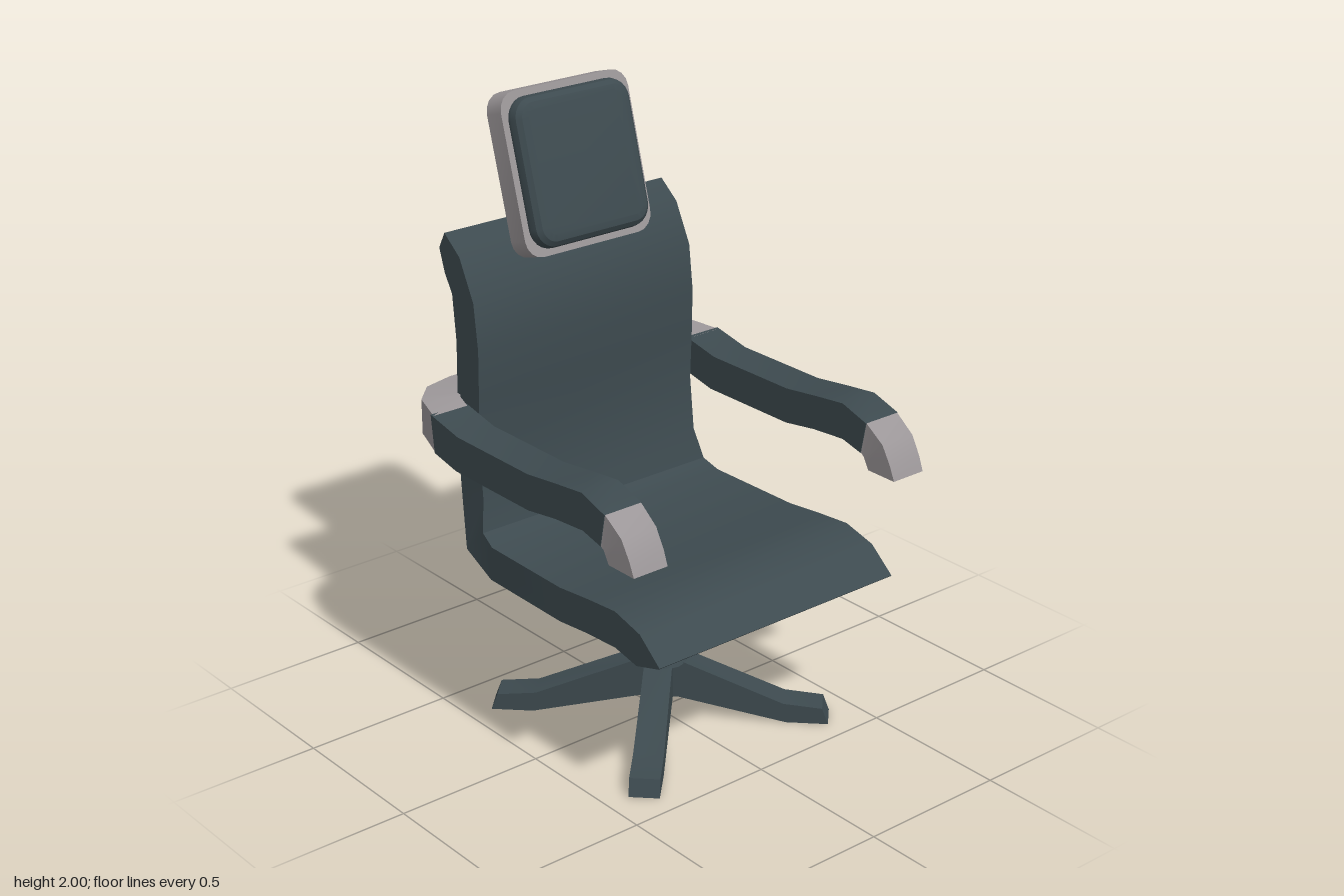
import * as THREE from 'three';
import { toCreasedNormals } from 'three/addons/utils/BufferGeometryUtils.js';

const mat = (name, color) => {
  const m = new THREE.MeshStandardMaterial({ color });
  m.name = name;
  return m;
};

// Solid skin through four-cornered rings: right-top, left-top, left-bottom, right-bottom
function loft(rings) {
  const pos = [];
  const tri = (a, b, c) => pos.push(...a, ...b, ...c);
  for (let s = 0; s < rings.length - 1; s++) {
    const p = rings[s], q = rings[s + 1];
    for (let i = 0; i < 4; i++) {
      const j = (i + 1) % 4;
      tri(p[i], q[i], p[j]);
      tri(p[j], q[i], q[j]);
    }
  }
  const f = rings[0], e = rings[rings.length - 1];
  tri(f[0], f[1], f[2]); tri(f[0], f[2], f[3]);
  tri(e[0], e[2], e[1]); tri(e[0], e[3], e[2]);
  const g = new THREE.BufferGeometry();
  g.setAttribute('position', new THREE.Float32BufferAttribute(pos, 3));
  return toCreasedNormals(g, 0.6);
}

// Slab from side sections [zTop, yTop, zBottom, yBottom, halfWidth], centred on x = cx
const slab = (sections, cx = 0) => loft(sections.map(([zt, yt, zb, yb, w]) => [
  [cx + w, yt, zt], [cx - w, yt, zt], [cx - w, yb, zb], [cx + w, yb, zb],
]));

function roundedRect(w, h, r) {
  const s = new THREE.Shape();
  s.absarc(w - r, h - r, r, 0, Math.PI / 2);
  s.absarc(r - w, h - r, r, Math.PI / 2, Math.PI);
  s.absarc(r - w, r - h, r, Math.PI, Math.PI * 1.5);
  s.absarc(w - r, r - h, r, Math.PI * 1.5, Math.PI * 2);
  return s;
}

export function createModel() {
  const slate = mat('dark slate', 0x3d4a4f);
  const grey = mat('warm grey', 0x9b9698);
  const model = new THREE.Group();
  const add = (name, geometry, material, parent = model) => {
    const m = new THREE.Mesh(geometry, material);
    m.name = name;
    parent.add(m);
    return m;
  };

  // One continuous shell for seat and backrest
  add('seatShell', slab([
    [0.57, 0.55, 0.565, 0.545, 0.47],
    [0.48, 0.625, 0.465, 0.515, 0.47],
    [0.365, 0.655, 0.365, 0.535, 0.47],
    [0.24, 0.645, 0.23, 0.528, 0.47],
    [0.1, 0.63, 0.1, 0.515, 0.47],
    [-0.25, 0.63, -0.26, 0.515, 0.465],
    [-0.31, 0.655, -0.4, 0.567, 0.455],
    [-0.335, 0.76, -0.45, 0.75, 0.432],
    [-0.352, 0.94, -0.467, 0.94, 0.43],
    [-0.345, 1.1, -0.458, 1.1, 0.43],
    [-0.342, 1.25, -0.455, 1.25, 0.43],
    [-0.36, 1.4, -0.47, 1.4, 0.43],
    [-0.425, 1.53, -0.505, 1.46, 0.43],
    [-0.5, 1.59, -0.53, 1.535, 0.43],
  ]), slate);

  // Armrests with hand grips
  for (const side of [1, -1]) {
    const name = side > 0 ? 'left' : 'right';
    add(name + 'Armrest', slab([
      [0.46, 1.035, 0.44, 0.93, 0.068],
      [0.355, 1.068, 0.36, 0.95, 0.068],
      [0.24, 1.055, 0.23, 0.94, 0.068],
      [0.1, 1.037, 0.1, 0.92, 0.068],
      [-0.25, 1.037, -0.265, 0.92, 0.068],
      [-0.39, 1.066, -0.375, 0.943, 0.068],
    ], side * 0.513), slate);
    add(name + 'Grip', slab([
      [0.583, 0.88, 0.47, 0.88, 0.062],
      [0.565, 0.925, 0.46, 0.9, 0.063],
      [0.53, 0.985, 0.45, 0.92, 0.064],
      [0.46, 1.035, 0.44, 0.93, 0.066],
    ], side * 0.513), grey);
  }

  // Band wrapping around the backrest: [outer x, outer z, inner x, inner z, bottom, top]
  const half = [
    [0.577, -0.38, 0.45, -0.38, 0.945, 1.064],
    [0.545, -0.49, 0.438, -0.435, 0.96, 1.075],
    [0.475, -0.56, 0.41, -0.462, 0.962, 1.077],
    [0.37, -0.585, 0.35, -0.47, 0.962, 1.077],
  ];
  const band = [...half, ...half.map(([a, b, c, ...r]) => [-a, b, -c, ...r]).reverse()];
  add('backBand', loft(band.map(([ox, oz, ix, iz, lo, hi]) => [
    [ox, hi, oz], [ix, hi, iz], [ix, lo, iz], [ox, lo, oz],
  ])), grey);

  // Tilted headrest
  const headrest = new THREE.Group();
  headrest.name = 'headrest';
  headrest.position.set(0, 1.753, -0.39);
  headrest.rotation.x = -0.276;
  model.add(headrest);
  const frame = new THREE.ExtrudeGeometry(roundedRect(0.247, 0.257, 0.06),
    { depth: 0.075, bevelEnabled: false, curveSegments: 2 });
  frame.translate(0, 0, -0.075);
  add('headrestFrame', toCreasedNormals(frame, 0.5), grey, headrest);
  const pad = new THREE.ExtrudeGeometry(roundedRect(0.185, 0.195, 0.03), {
    depth: 0.012, bevelThickness: 0.037, bevelSize: 0.04, bevelSegments: 3, curveSegments: 3,
  });
  add('headrestCushion', toCreasedNormals(pad, 0.5), slate, headrest);

  // Bracket joining headrest to backrest
  add('headrestBracket', slab([
    [-0.455, 1.44, -0.52, 1.42, 0.06],
    [-0.51, 1.52, -0.56, 1.51, 0.058],
    [-0.48, 1.59, -0.53, 1.58, 0.032],
    [-0.46, 1.64, -0.512, 1.64, 0.028],
    [-0.465, 1.71, -0.517, 1.71, 0.035],
    [-0.47, 1.745, -0.52, 1.74, 0.072],
    [-0.48, 1.825, -0.525, 1.795, 0.074],
  ]), slate);

  // Pedestal
  const base = new THREE.Group();
  base.name = 'pedestal';
  base.position.z = 0.01;
  model.add(base);
  const turned = (name, points, material) => add(name, toCreasedNormals(
    new THREE.LatheGeometry(points.map(([r, y]) => new THREE.Vector2(r, y)), 16), 0.5), material, base);
  turned('gasColumn', [[0, 0.19], [0.072, 0.19], [0.072, 0.43], [0, 0.43]], grey);
  turned('topCollar', [[0, 0.418], [0.074, 0.418], [0.092, 0.465], [0.095, 0.52], [0, 0.52]], slate);
  turned('hub', [[0, 0.08], [0.05, 0.08], [0.06, 0.18], [0.092, 0.195], [0.074, 0.235], [0, 0.235]], slate);

  // Four diagonal feet
  for (let i = 0; i < 4; i++) {
    const leg = add('foot' + (i + 1), slab([
      [0.525, 0.055, 0.545, 0, 0.048],
      [0.4, 0.067, 0.41, 0, 0.048],
      [0.08, 0.2, 0.06, 0.075, 0.045],
      [0, 0.2, 0, 0.075, 0.045],
    ]), slate, base);
    leg.rotation.y = Math.PI / 4 + i * Math.PI / 2;
  }
  return model;
}
